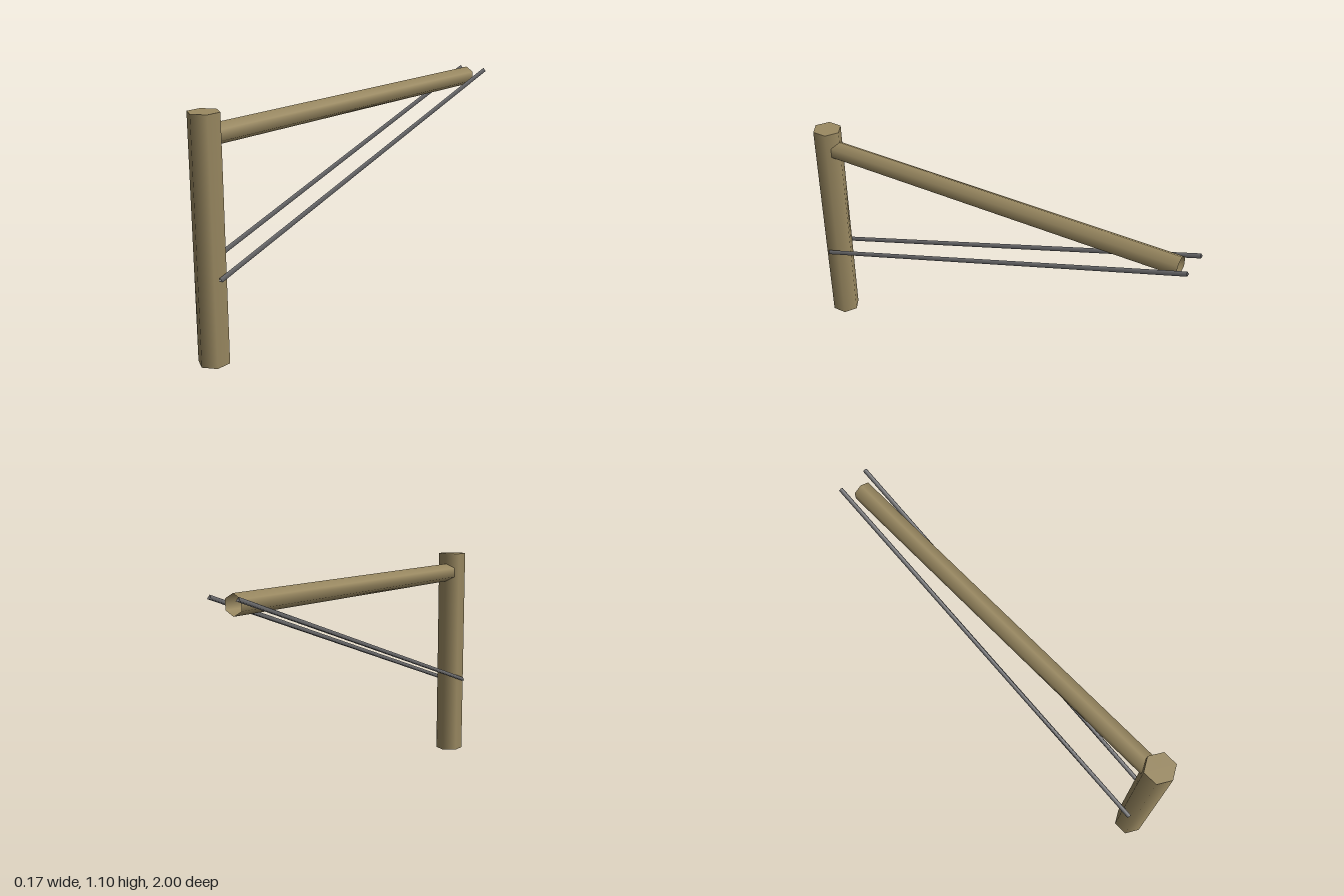
import * as THREE from 'three';

export function createModel() {
  const model = new THREE.Group();
  model.name = 'hangingPost';

  const wood = new THREE.MeshStandardMaterial({ color: 0x9b8a62, side: THREE.DoubleSide });
  wood.name = 'wood';
  const metal = new THREE.MeshStandardMaterial({ color: 0x78787a, side: THREE.DoubleSide });
  metal.name = 'metal';

  // Open tube from one point to another in the YZ plane, one corner facing up
  function bar(name, radius, sides, material, x, from, to) {
    const dy = to[0] - from[0], dz = to[1] - from[1];
    const geometry = new THREE.CylinderGeometry(radius, radius, Math.hypot(dy, dz), sides, 1, true);
    const mesh = new THREE.Mesh(geometry, material);
    mesh.name = name;
    mesh.position.set(x, (from[0] + to[0]) / 2, (from[1] + to[1]) / 2);
    mesh.rotation.x = Math.atan2(dz, dy);
    model.add(mesh);
  }

  const postZ = 0.929, postRadius = 0.071, postHeight = 1.1;

  // Upright hexagonal post, closed on top and open below
  bar('post', postRadius, 6, wood, 0, [0, postZ], [postHeight, postZ]);
  const cap = new THREE.Mesh(new THREE.CircleGeometry(postRadius, 6, Math.PI / 2), wood);
  cap.name = 'postTop';
  cap.rotation.x = -Math.PI / 2;
  cap.position.set(0, postHeight, postZ);
  model.add(cap);

  // Horizontal hexagonal beam with a hollow far end
  bar('beam', 0.0475, 6, wood, 0, [0.998, postZ - 0.04], [0.998, -0.94]);

  // Pair of thin triangular brace rods either side of the post
  for (const [name, side] of [['leftBrace', 1], ['rightBrace', -1]]) {
    bar(name, 0.0122, 3, metal, side * 0.0735, [0.398, 0.94], [1.028, -0.998]);
  }

  return model;
}
